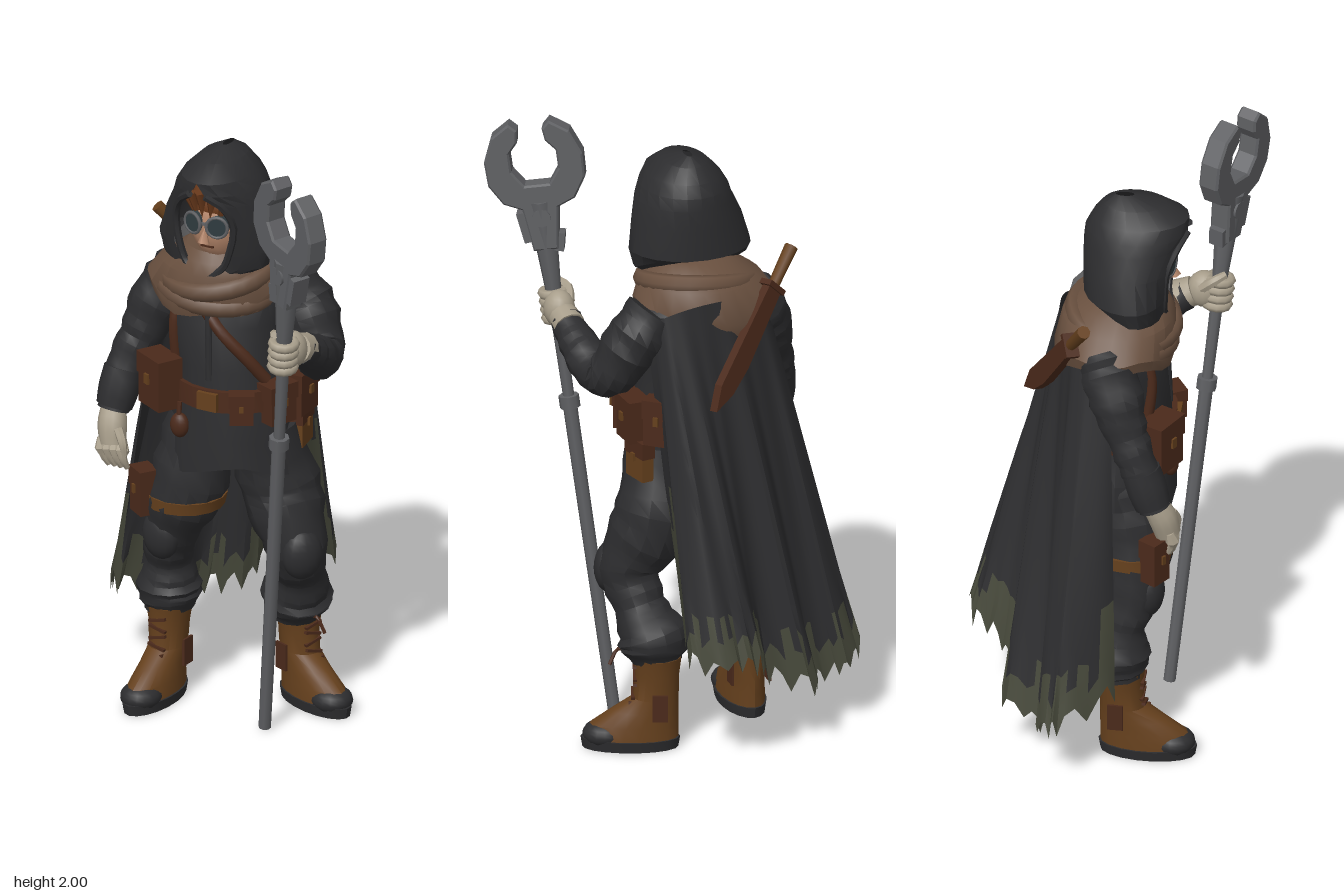
import * as THREE from 'three';
import { toCreasedNormals } from 'three/addons/utils/BufferGeometryUtils.js';

const V = (x, y, z) => new THREE.Vector3(x, y, z);
const curve = (pts) => new THREE.CatmullRomCurve3(pts.map((p) => V(p[0], p[1], p[2])));
const colour = (name, hex, side = THREE.FrontSide) => {
  const m = new THREE.MeshStandardMaterial({ color: hex, side });
  m.name = name;
  return m;
};

// Surface through rows of points; cells may be sorted into two material groups
function skin(rows, closed = true, pick = null, crease = 0.6) {
  const n = rows[0].length, lists = [[], []];
  for (let j = 0; j < rows.length - 1; j++) {
    for (let i = 0; i < (closed ? n : n - 1); i++) {
      const a = j * n + i, b = j * n + (i + 1) % n;
      lists[pick && pick(i, j) ? 1 : 0].push(a, b, a + n, b, b + n, a + n);
    }
  }
  const g = new THREE.BufferGeometry().setFromPoints(rows.flat());
  g.setIndex(lists.flat());
  if (pick) {
    g.addGroup(0, lists[0].length, 0);
    g.addGroup(lists[0].length, lists[1].length, 1);
  }
  return toCreasedNormals(g, crease);
}

// Stacked ellipses, bottom to top: [x, y, z, rx, rz]
function loft(rings, sides = 18, warp = null) {
  const rows = rings.map(([x, y, z, rx, rz], j) => Array.from({ length: sides }, (_, i) => {
    const t = i / sides * Math.PI * 2;
    const p = V(x + rx * Math.sin(t), y, z + rz * Math.cos(t));
    if (warp) warp(p, t, j);
    return p;
  }));
  const flat = (r) => { const c = V(0, 0, 0); r.forEach((p) => c.add(p)); c.divideScalar(sides); return r.map(() => c.clone()); };
  return skin([flat(rows[0]), ...rows, flat(rows[rows.length - 1])]);
}

// Round limb through [x, y, z, radius] points, with wrinkled cloth rings
function limb(points, wrinkle = 0, steps = 16, sides = 12) {
  const path = curve(points), radii = curve(points.map((p) => [p[3], 0, 0]));
  const rows = [];
  for (let j = 0; j <= steps; j++) {
    const t = path.getTangent(j / steps), c = path.getPoint(j / steps);
    const a = V(1, 0, 0).cross(t).normalize(), b = t.clone().cross(a);
    const r = radii.getPoint(j / steps).x;
    rows.push(Array.from({ length: sides }, (_, i) => {
      const q = i / sides * Math.PI * 2, k = r * (1 + wrinkle * Math.sin(j * 2.3 + Math.sin(q + j) * 1.2));
      return c.clone().addScaledVector(a, k * Math.cos(q)).addScaledVector(b, k * Math.sin(q));
    }));
  }
  const end = (s) => Array.from({ length: sides }, () => path.getPoint(s));
  return skin([end(0), ...rows, end(1)]);
}

export function createModel() {
  const root = new THREE.Group();
  const D = THREE.DoubleSide;
  const cloth = colour('charcoal cloth', 0x2d2d2f, D), scarf = colour('brown scarf', 0x69503f, D);
  const leather = colour('dark leather', 0x4b2a1b), tan = colour('tan leather', 0x65401d);
  const glove = colour('pale glove', 0xa89e8b), flesh = colour('skin', 0xb5866a);
  const steel = colour('steel', 0x5f6063), hem = colour('olive hem', 0x46483a, D);
  const hair = colour('auburn hair', 0x6a3a1c), lens = colour('goggle glass', 0x2f3b3f);

  const add = (name, geo, mat, pos = [0, 0, 0], rot = [0, 0, 0], scale = [1, 1, 1], parent = root) => {
    const m = new THREE.Mesh(geo, mat);
    m.name = name;
    m.position.set(...pos); m.rotation.set(...rot); m.scale.set(...scale);
    parent.add(m);
    return m;
  };
  const box = (w, h, d) => new THREE.BoxGeometry(w, h, d);
  const ball = new THREE.SphereGeometry(1, 16, 12);

  // Jacket with a flared skirt
  add('jacket', loft([[0, .86, .05, .215, .175], [0, .95, .05, .205, .172], [.01, 1.08, .05, .185, .165], [0, 1.2, .04, .175, .165],
    [-.02, 1.35, .03, .2, .165], [-.02, 1.45, .01, .22, .14], [-.02, 1.53, .03, .12, .1]], 20,
  (p, t, j) => { if (j < 2) { p.x += .012 * Math.sin(t * 5); p.y += .025 * Math.sin(t * 3); } }), cloth);
  add('jacketPlacket', limb([[0, 1.42, .188, .012], [.005, 1.3, .195, .012], [.01, 1.17, .2, .012]]), cloth);

  // Trousers and knee pads
  add('rightTrouser', limb([[-.09, .97, .06, .115], [-.125, .75, .1, .125], [-.185, .58, .1, .09], [-.21, .46, .07, .078], [-.215, .36, .06, .105], [-.21, .29, .06, .08]], .05, 22), cloth);
  add('leftTrouser', limb([[.1, .97, .02, .115], [.145, .75, -.02, .13], [.215, .58, .01, .1], [.2, .46, -.04, .085], [.17, .36, -.08, .115], [.165, .29, -.09, .08]], .05, 22), cloth);
  add('rightKneePad', ball, cloth, [-.19, .58, .155], [0, -.2, 0], [.068, .085, .05]);
  add('leftKneePad', ball, cloth, [.265, .57, .055], [0, .9, 0], [.068, .085, .05]);

  // Boots
  const makeBoot = (name, pos, yaw) => {
    const g = new THREE.Group();
    g.name = name; g.position.set(...pos); g.rotation.y = yaw;
    root.add(g);
    const o = [0, 0, 0];
    add('bootSole', loft([[0, 0, .085, .068, .152], [0, .035, .085, .074, .158]]), cloth, o, o, [1, 1, 1], g);
    add('bootUpper', loft([[0, .035, .083, .068, .15], [0, .08, .073, .065, .14], [0, .125, .04, .058, .108], [0, .17, .005, .058, .073],
      [0, .25, 0, .064, .07], [0, .31, 0, .074, .078]]), tan, o, o, [1, 1, 1], g);
    add('toeCap', ball, cloth, [0, .045, .165], o, [.066, .045, .072], g);
    for (let i = 0; i < 6; i++) {
      add('bootLace', box(.062, .009, .012), leather, [0, .12 + i * .03, [.105, .085, .076, .07, .07, .072][i]], [0, 0, i % 2 ? .25 : -.25], [1, 1, 1], g);
    }
    for (const s of [-1, 1]) add('heelPatch', box(.008, .09, .05), leather, [s * .062, .15, -.01], o, [1, 1, 1], g);
  };
  makeBoot('rightBoot', [-.21, 0, .07], -.05);
  makeBoot('leftBoot', [.165, 0, -.1], 1.2);
  add('looseLace', limb([[.23, .3, -.05, .006], [.27, .32, -.03, .006], [.3, .27, -.03, .006]], 0, 6, 5), leather);

  // Sleeves
  add('rightSleeve', limb([[-.19, 1.46, .01, .085], [-.25, 1.36, .05, .09], [-.3, 1.22, .1, .068], [-.335, 1.1, .15, .06], [-.345, .99, .19, .05]], .06, 20), cloth);
  add('leftSleeve', limb([[.16, 1.46, -.05, .085], [.23, 1.37, -.05, .092], [.3, 1.25, 0, .076], [.335, 1.29, .1, .066], [.35, 1.36, .22, .05]], .06, 20), cloth);
  add('rightCuff', limb([[-.332, 1.12, .145, .064], [-.338, 1.06, .165, .066], [-.345, 1, .185, .058]], 0, 4), cloth);

  // Relaxed right hand
  add('rightGlove', limb([[-.345, 1, .19, .04], [-.335, .95, .215, .047], [-.325, .89, .23, .042]], 0, 6), glove);
  for (let i = 0; i < 4; i++) {
    add('rightFinger', limb([[-.36 + i * .022, .91, .24 - i * .006, .014], [-.35 + i * .024, .86, .25, .014], [-.335 + i * .022, .82, .235, .009]], 0, 6, 7), glove);
  }
  add('rightThumb', limb([[-.3, .95, .24, .016], [-.275, .91, .255, .014], [-.268, .87, .255, .009]], 0, 6, 7), glove);

  // Wrench staff, built upright and then leaned
  const staff = new THREE.Group();
  staff.name = 'wrenchStaff';
  root.add(staff);
  const up = V(.185, 1.72, .175).normalize();
  const across = V(.9, 0, .44);
  across.addScaledVector(up, -across.dot(up)).normalize();
  staff.setRotationFromMatrix(new THREE.Matrix4().makeBasis(across, up, across.clone().cross(up)));
  staff.position.set(.2, .005, .18);
  const part = (name, geo, pos, rot = [0, 0, 0], mat = steel) => add(name, geo, mat, pos, rot, [1, 1, 1], staff);
  const rod = (a, b, r0, r1) => part('shaft', new THREE.CylinderGeometry(r1, r0, b - a, 8), [0, (a + b) / 2, 0]);
  rod(0, 1.06, .02, .023);
  rod(1.06, 1.45, .018, .022);
  rod(1.43, 1.74, .025, .046);
  part('shaftCollar', new THREE.CylinderGeometry(.033, .033, .04, 8), [0, 1.06, 0]);
  const half = [[.04, 1.58], [.058, 1.72], [.115, 1.745], [.155, 1.81], [.158, 1.89], [.125, 1.97], [.065, 2.01], [.04, 1.985], [.045, 1.945], [.075, 1.91], [.075, 1.85], [.04, 1.8]];
  const outline = [...half, ...half.map(([x, y]) => [-x, y]).reverse()].map(([x, y]) => new THREE.Vector2(x, y));
  const jaw = new THREE.ExtrudeGeometry(new THREE.Shape(outline), { depth: .056, bevelThickness: .007, bevelSize: .006, bevelOffset: -.006, bevelSegments: 1 });
  part('wrenchJaw', jaw.translate(0, 0, -.028), [0, 0, 0]);
  part('jawBlock', box(.035, .1, .06), [.055, 1.66, 0], [0, 0, -.15]);
  part('jawBlock', box(.03, .06, .05), [-.045, 1.6, 0], [0, 0, .2]);
  part('adjusterWheel', new THREE.CylinderGeometry(.03, .03, .085, 10), [0, 1.69, 0], [Math.PI / 2, 0, 0]);

  // Left hand closed around the staff
  for (let i = 0; i < 4; i++) {
    part('leftFinger', new THREE.TorusGeometry(.036, .016, 7, 12), [0, 1.345 + i * .028, 0], [Math.PI / 2, 0, 0], glove);
  }
  add('leftPalm', ball, glove, [.352, 1.38, .275], [0, 0, 0], [.05, .062, .055]);
  add('leftGloveCuff', limb([[.35, 1.35, .19, .052], [.352, 1.37, .24, .048]], 0, 4), glove);
  add('leftThumb', limb([[.32, 1.4, .27, .018], [.31, 1.435, .31, .016], [.33, 1.45, .345, .012]], 0, 6, 7), glove);

  // Cape: blended from shoulder line to ragged, wandering hem
  const top = curve([[-.26, 1.41, .04], [-.2, 1.47, -.07], [-.08, 1.5, -.13], [.05, 1.5, -.15], [.15, 1.47, -.13], [.19, 1.42, -.07]]);
  const low = curve([[-.4, .34, .07], [-.52, .25, -.11], [-.45, .21, -.17], [-.36, .17, -.15], [-.3, .2, -.29], [-.14, .27, -.28], [-.08, .36, -.39], [.03, .38, -.44], [.15, .38, -.37], [.1, .4, -.2]]);
  let seed = 7;
  const rnd = () => (seed = seed * 16807 % 2147483647) / 2147483647;
  const nu = 60, nv = 14, jag = Array.from({ length: nu + 1 }, (_, i) => (i % 3 === 0 ? -.03 : .02) + (rnd() - .5) * .04);
  const capeRows = [];
  for (let j = 0; j <= nv; j++) {
    const v = j / nv;
    capeRows.push(Array.from({ length: nu + 1 }, (_, i) => {
      const u = i / nu, p = top.getPoint(u).lerp(low.getPoint(u), v);
      const fold = .014 * Math.sin(u * 52) * Math.min(1, v * 2) * (1 - v * .4);
      p.x += fold * (u - .6);
      p.z += fold;
      p.y += jag[i] * Math.max(0, v - .8) * 5;
      return p;
    }));
  }
  const edge = Array.from({ length: nu }, () => rnd());
  add('cape', skin(capeRows, false, (i, j) => j >= nv - (edge[i] > .6 ? 2 : 1) || (i > nu - 6 && j > 6 + edge[i] * 3) || (i < 2 && j > 9), .5), [cloth, hem]);

  // Scarf cowl with folds
  add('scarfCowl', loft([[-.05, 1.43, .035, .225, .185], [-.05, 1.47, .035, .235, .195], [-.035, 1.53, .045, .195, .18], [-.02, 1.57, .055, .15, .15], [-.02, 1.6, .07, .11, .11]], 24,
    (p, t, j) => { if (j < 2) p.y -= .045 * Math.cos(t) ** 2 - .012 * Math.sin(t * 5); }), scarf);
  const wrap = new THREE.TorusGeometry(1, .16, 7, 28).rotateX(Math.PI / 2);
  add('scarfFold', wrap, scarf, [-.03, 1.51, .06], [.22, 0, .1], [.175, .2, .165]);
  add('scarfFold', wrap, scarf, [-.04, 1.46, .05], [.2, 0, -.08], [.19, .2, .165]);

  // Head, hair and goggles
  add('face', ball, flesh, [0, 1.69, .1], [0, 0, 0], [.095, .135, .11]);
  add('nose', new THREE.ConeGeometry(.02, .055, 5), flesh, [0, 1.675, .212], [-.25, 0, 0]);
  add('mouth', box(.045, .006, .006), leather, [0, 1.63, .197]);
  add('neck', new THREE.CylinderGeometry(.05, .06, .12, 10), flesh, [0, 1.55, .1]);
  add('hairCap', ball, hair, [0, 1.755, .095], [0, 0, 0], [.1, .085, .105]);
  for (let i = 0; i < 6; i++) {
    const a = -.9 + i * .36;
    add('fringe', new THREE.ConeGeometry(.024, .085, 4), hair, [.095 * Math.sin(a), 1.775 - Math.abs(a) * .03, .1 + .105 * Math.cos(a)], [Math.PI, 0, a * .4]);
  }
  for (const s of [-1, 1]) {
    add('goggleRim', new THREE.TorusGeometry(.034, .006, 6, 16), steel, [s * .044, 1.708, .212], [0, s * .3, 0]);
    add('goggleLens', new THREE.CylinderGeometry(.034, .034, .03, 16), lens, [s * .044, 1.708, .199], [Math.PI / 2, 0, -s * .3]);
  }
  add('goggleBridge', box(.03, .008, .008), steel, [0, 1.712, .214]);

  // Hood, open at the front: [x, y, z, width, back, front, opening angle]
  const hoodRings = [[-.02, 1.53, .1, .13, .12, .11, .25], [-.02, 1.56, .1, .185, .15, .1, .4], [-.02, 1.62, .1, .2, .17, .11, .52], [-.01, 1.72, .1, .178, .172, .13, .66],
    [0, 1.79, .1, .155, .17, .15, .5], [0, 1.83, .1, .14, .165, .165, .2], [0, 1.87, .1, .115, .145, .165, 0], [0, 1.915, .085, .07, .095, .11, 0], [0, 1.94, .06, .012, .03, .03, 0]];
  add('hood', skin(hoodRings.map(([x, y, z, w, b, f, open]) => Array.from({ length: 19 }, (_, i) => {
    const t = open + (Math.PI * 2 - open * 2) * i / 18, c = Math.cos(t), q = Math.max(0, -c);
    return V(x + w * Math.sin(t), y + (y < 1.6 ? q * .07 : 0), z + c * (c > 0 ? f : b));
  })), false, null, .4), cloth);
  const rim = [...hoodRings.slice(0, 6).map(([x, y, z, w, b, f, o]) => [x + w * Math.sin(o), y, z + f * Math.cos(o), .012])];
  for (const s of [-1, 1]) add('hoodRim', limb(rim.map(([x, y, z, r]) => [x * s + (s < 0 ? -.03 : 0) * (1.83 - y) / .3, y, z, r]), 0, 12, 6), cloth);

  // Belt, pouches and straps
  add('belt', loft([[.01, 1.075, .05, .197, .178], [.01, 1.145, .05, .194, .176]], 24), leather);
  const pouch = (pos, size, yaw, mat = leather) => {
    const [w, h, d] = size, g = new THREE.Group();
    g.name = 'pouch'; g.position.set(...pos); g.rotation.y = yaw;
    root.add(g);
    add('pouchBody', box(w, h, d), mat, [0, 0, 0], [0, 0, 0], [1, 1, 1], g);
    add('pouchFlap', box(w * 1.1, h * .42, d * 1.12), leather, [0, h * .31, 0], [0, 0, 0], [1, 1, 1], g);
    add('pouchStud', box(w * .18, h * .2, .008), tan, [0, h * .08, d * .56 + .003], [0, 0, 0], [1, 1, 1], g);
  };
  pouch([-.175, 1.13, .195], [.12, .17, .08], -.5);
  pouch([.13, 1.1, .205], [.075, .1, .05], .5);
  pouch([.2, 1.1, .1], [.1, .13, .07], 1.2);
  pouch([.215, 1.1, -.02], [.11, .14, .07], 1.6);
  pouch([.16, 1.11, -.11], [.09, .15, .06], 2.4);
  pouch([.205, .97, -.05], [.1, .13, .04], 1.75, tan);
  pouch([-.24, .73, .18], [.075, .15, .06], -.6);
  add('buckle', box(.07, .06, .02), tan, [.02, 1.11, .228]);
  add('hangingPouch', ball, leather, [-.09, 1, .215], [0, 0, 0], [.032, .042, .025]);
  add('pouchCord', limb([[-.09, 1.08, .215, .008], [-.09, 1.02, .22, .008]], 0, 3, 6), leather);
  add('chestStrap', limb([[-.06, 1.44, .17, .02], [.05, 1.33, .183, .02], [.12, 1.25, .155, .02], [.165, 1.17, .11, .02]]), leather);
  add('shoulderStrap', limb([[-.13, 1.45, .13, .018], [-.14, 1.33, .158, .018], [-.14, 1.18, .145, .018]]), leather);
  add('thighStrap', loft([[-.135, .685, .1, .128, .126], [-.13, .725, .1, .132, .13]], 16), tan);

  // Sheathed blade slung across the back
  const sheath = new THREE.Group();
  sheath.name = 'sheathedBlade';
  sheath.position.set(-.3, 1.6, -.03);
  const d = V(.34, -.43, -.21).normalize(), n = V(.35, 0, .94);
  n.addScaledVector(d, -n.dot(d)).normalize();
  sheath.setRotationFromMatrix(new THREE.Matrix4().makeBasis(d.clone().cross(n), d, n));
  root.add(sheath);
  const bladeOutline = [[-.03, .13], [.03, .13], [.042, .4], [.03, .5], [-.005, .58], [-.035, .5]].map(([x, y]) => new THREE.Vector2(x, y));
  add('sheath', new THREE.ExtrudeGeometry(new THREE.Shape(bladeOutline), { depth: .03, bevelEnabled: false }), leather, [0, 0, -.03], [0, 0, 0], [1, 1, 1], sheath);
  add('handle', new THREE.CylinderGeometry(.018, .022, .15, 8), tan, [0, .06, -.015], [0, 0, 0], [1, 1, 1], sheath);
  add('handleGuard', box(.08, .018, .045), leather, [0, .13, -.015], [0, 0, 0], [1, 1, 1], sheath);
  return root;
}
